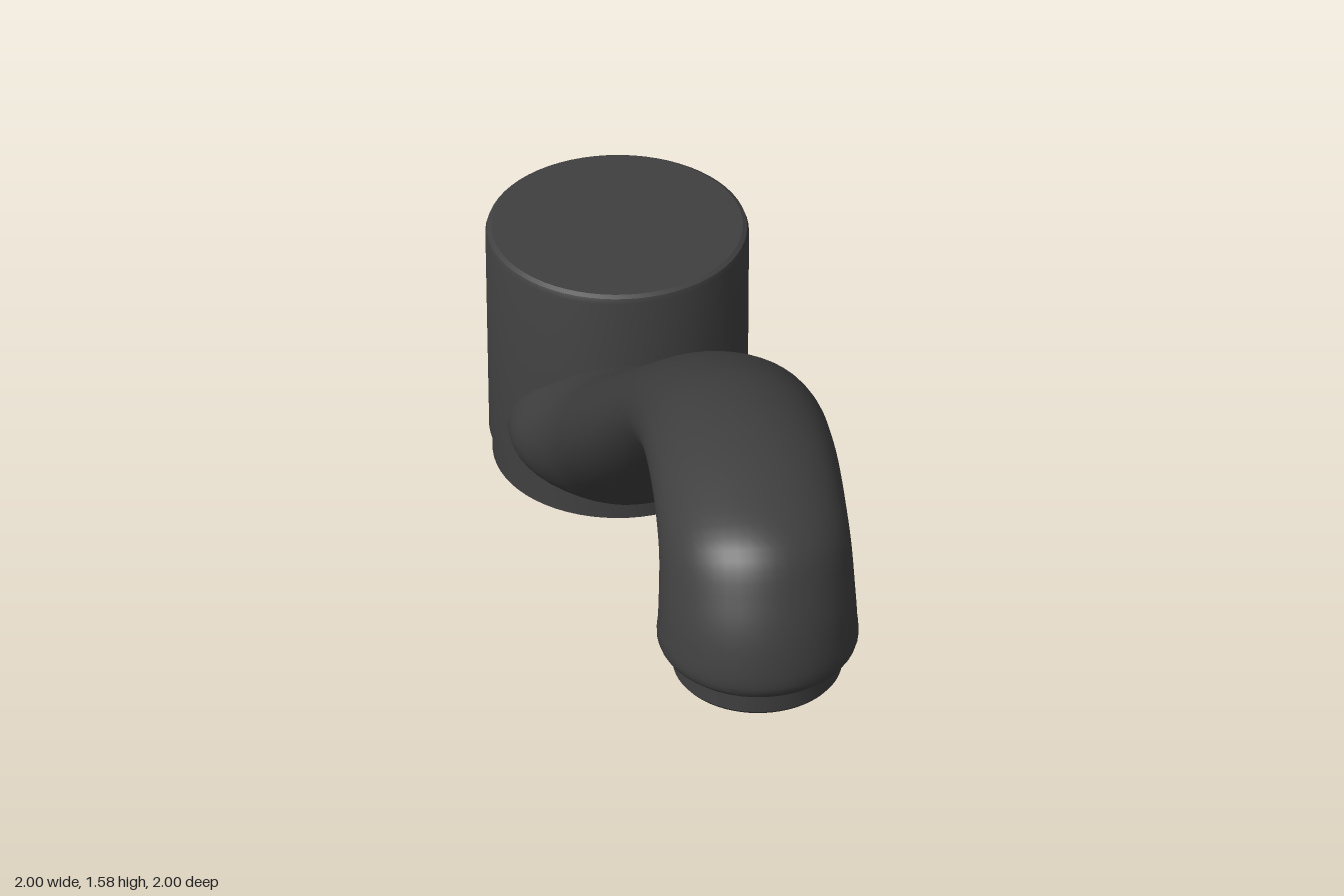
import * as THREE from 'three';
import { toCreasedNormals } from 'three/addons/utils/BufferGeometryUtils.js';

const material = new THREE.MeshStandardMaterial({ color: 0x404040 });

// Turned part from [radius, height] pairs
function turned(name, profile, x) {
  const points = profile.map(([r, y]) => new THREE.Vector2(r, y));
  const mesh = new THREE.Mesh(toCreasedNormals(new THREE.LatheGeometry(points, 64), 0.5), material);
  mesh.name = name;
  mesh.position.x = x;
  return mesh;
}

// Elliptical sections lofted along the spout: [upper x, upper y, lower x, lower y, half width]
function loft(stations, perSpan, sides) {
  const upper = new THREE.CatmullRomCurve3(stations.map(s => new THREE.Vector3(s[0], s[1], s[4])));
  const lower = new THREE.CatmullRomCurve3(stations.map(s => new THREE.Vector3(s[2], s[3], 0)));
  const rows = (stations.length - 1) * perSpan;
  const pos = [], index = [];
  for (let i = 0; i <= rows; i++) {
    const u = upper.getPoint(i / rows), l = lower.getPoint(i / rows);
    for (let j = 0; j < sides; j++) {
      const t = (j / sides) * Math.PI * 2, k = (1 + Math.cos(t)) / 2;
      pos.push(l.x + (u.x - l.x) * k, l.y + (u.y - l.y) * k, u.z * Math.sin(t));
      if (i === rows) continue;
      const a = i * sides + j, b = i * sides + (j + 1) % sides;
      index.push(a, b, a + sides, b, b + sides, a + sides);
    }
  }
  const geo = new THREE.BufferGeometry();
  geo.setAttribute('position', new THREE.Float32BufferAttribute(pos, 3));
  geo.setIndex(index);
  return toCreasedNormals(geo, 0.6);
}

export function createModel() {
  const model = new THREE.Group();
  model.name = 'tap';

  // Built along local x, then turned onto the diagonal
  const body = new THREE.Group();
  body.name = 'tapBody';
  body.position.set(-0.785, 0, -0.785);
  body.rotation.y = -Math.PI / 4;
  model.add(body);

  // Foot ring and cylindrical housing with a softened top edge
  body.add(turned('footRing', [[0, 0], [0.21, 0], [0.21, 0.05]], 0));
  body.add(turned('housing', [[0.205, 0.042], [0.215, 0.05], [0.215, 0.428], [0.212, 0.436], [0.205, 0.44], [0, 0.44]], 0));

  // Spout: flared root, straight tapering arm, bend and downturned head
  const spout = new THREE.Mesh(loft([
    [0.00, 0.20, 0.19, 0.04, 0.19],
    [0.12, 0.26, 0.24, 0.06, 0.187],
    [0.22, 0.31, 0.31, 0.10, 0.162],
    [0.305, 0.36, 0.43, 0.19, 0.144],
    [0.74, 0.672, 0.86, 0.51, 0.138],
    [1.22, 1.02, 1.33, 0.873, 0.129],
    [1.68, 1.35, 1.77, 1.22, 0.121],
    [1.86, 1.465, 1.92, 1.315, 0.12],
    [2.02, 1.545, 2.06, 1.385, 0.12],
    [2.17, 1.58, 2.15, 1.415, 0.12],
    [2.30, 1.577, 2.195, 1.417, 0.12],
    [2.40, 1.55, 2.21, 1.408, 0.121],
    [2.44, 1.49, 2.216, 1.395, 0.123],
    [2.463, 1.43, 2.218, 1.385, 0.125],
    [2.468, 1.375, 2.218, 1.373, 0.125],
    [2.448, 1.357, 2.238, 1.357, 0.105],
  ], 5, 48), material);
  spout.name = 'spout';
  body.add(spout);

  // Outlet nozzle with a shallow recess
  body.add(turned('nozzle', [[0, 1.338], [0.09, 1.338], [0.094, 1.33], [0.104, 1.33], [0.107, 1.334], [0.107, 1.372]], 2.343));

  return model;
}
